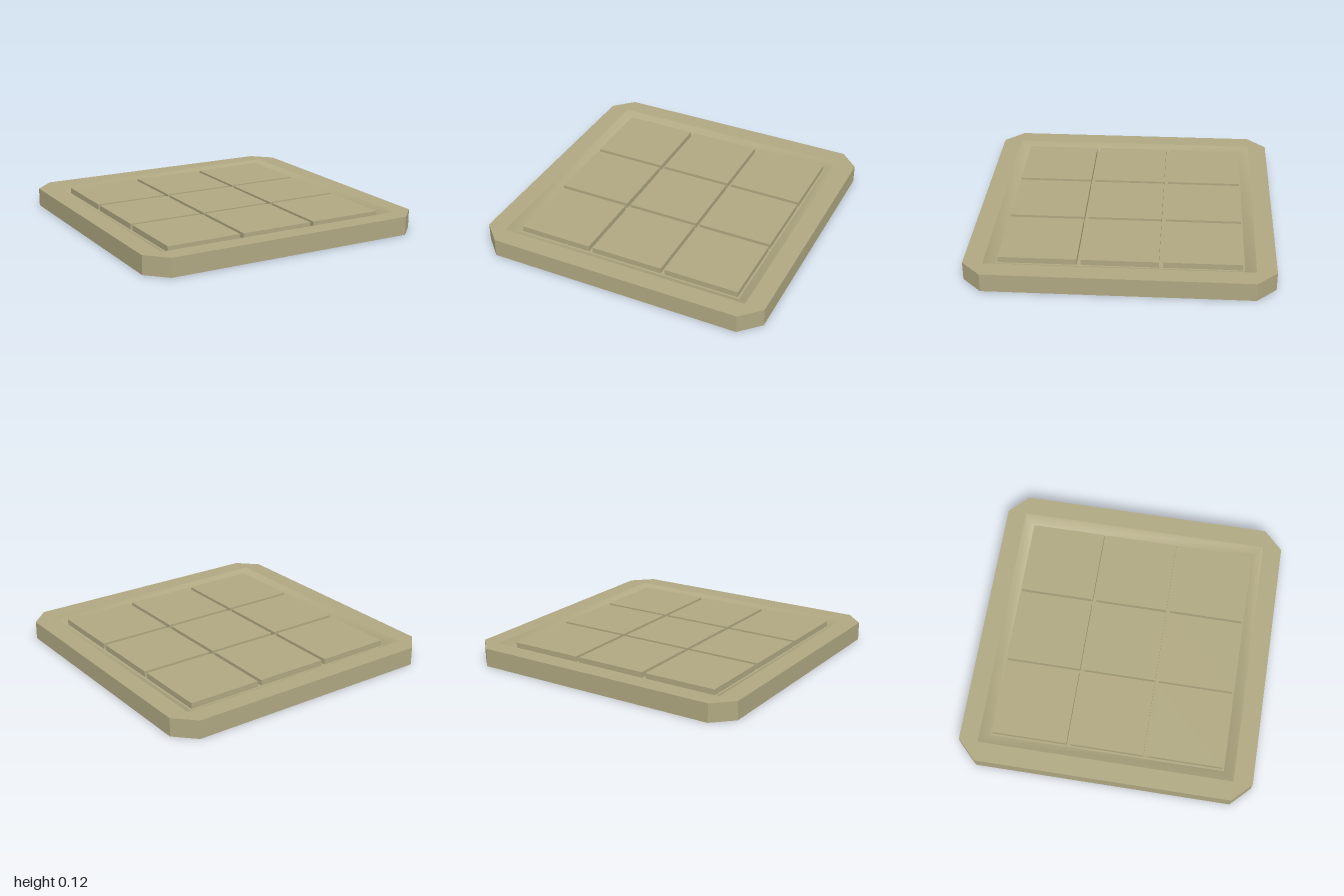
import * as THREE from 'three';

const HEIGHT = 0.125, FLOOR = 0.083, TILE_TOP = 0.122;
const HALF = 1, CUT = 0.87;        // outer half width and where the corner cuts start
const LIP = 0.87, BASIN = 0.8;     // top and bottom half widths of the sloped recess

const square = (s) => [[s, -s], [s, s], [-s, s], [-s, -s]];
const octagon = [
  [CUT, -HALF], [HALF, -CUT], [HALF, CUT], [CUT, HALF],
  [-CUT, HALF], [-HALF, CUT], [-HALF, -CUT], [-CUT, -HALF],
];
const toPoints = (loop) => loop.map(([x, y]) => new THREE.Vector2(x, y));

// Horizontal face with an optional hole, facing up or down
function plate(loop, y, { hole, down = false } = {}) {
  const shape = new THREE.Shape(toPoints(loop));
  if (hole) shape.holes.push(new THREE.Path(toPoints(hole)));
  return new THREE.ShapeGeometry(shape)
    .rotateX(down ? Math.PI / 2 : -Math.PI / 2)
    .translate(0, y, 0);
}

// Strip of quads joining two loops at different heights
function band(loopA, yA, loopB, yB) {
  const n = loopA.length, index = [];
  const positions = [
    ...loopA.flatMap(([x, z]) => [x, yA, -z]),
    ...loopB.flatMap(([x, z]) => [x, yB, -z]),
  ];
  for (let i = 0; i < n; i++) {
    const j = (i + 1) % n;
    index.push(i, j, n + j, i, n + j, n + i);
  }
  const geometry = new THREE.BufferGeometry();
  geometry.setAttribute('position', new THREE.Float32BufferAttribute(positions, 3));
  geometry.setIndex(index);
  geometry.computeVertexNormals();
  return geometry;
}

export function createModel() {
  const model = new THREE.Group();
  model.name = 'floorPanel';
  const smooth = new THREE.MeshStandardMaterial({ color: 0xb0a882 });
  const flat = new THREE.MeshStandardMaterial({ color: 0xb0a882, flatShading: true });

  const add = (name, geometry, material = flat) => {
    const mesh = new THREE.Mesh(geometry, material);
    mesh.name = name;
    model.add(mesh);
    return mesh;
  };

  // Tray with cut corners and a shallow recess
  add('underside', plate(octagon, 0, { down: true }));
  add('outerWall', band(octagon, 0, octagon, HEIGHT));
  add('rim', plate(octagon, HEIGHT, { hole: square(LIP) }));
  add('recessSlope', band(square(LIP), HEIGHT, square(BASIN), FLOOR), smooth);
  add('recessFloor', plate(square(BASIN), FLOOR));

  // Three by three raised tiles, the middle row and column slightly narrower
  const spans = [[-0.787, -0.277], [-0.25, 0.25], [0.277, 0.787]];
  for (const [x0, x1] of spans) {
    for (const [z0, z1] of spans) {
      const tile = add('tile', new THREE.BoxGeometry(x1 - x0, TILE_TOP - FLOOR, z1 - z0));
      tile.position.set((x0 + x1) / 2, (TILE_TOP + FLOOR) / 2, (z0 + z1) / 2);
    }
  }
  return model;
}
